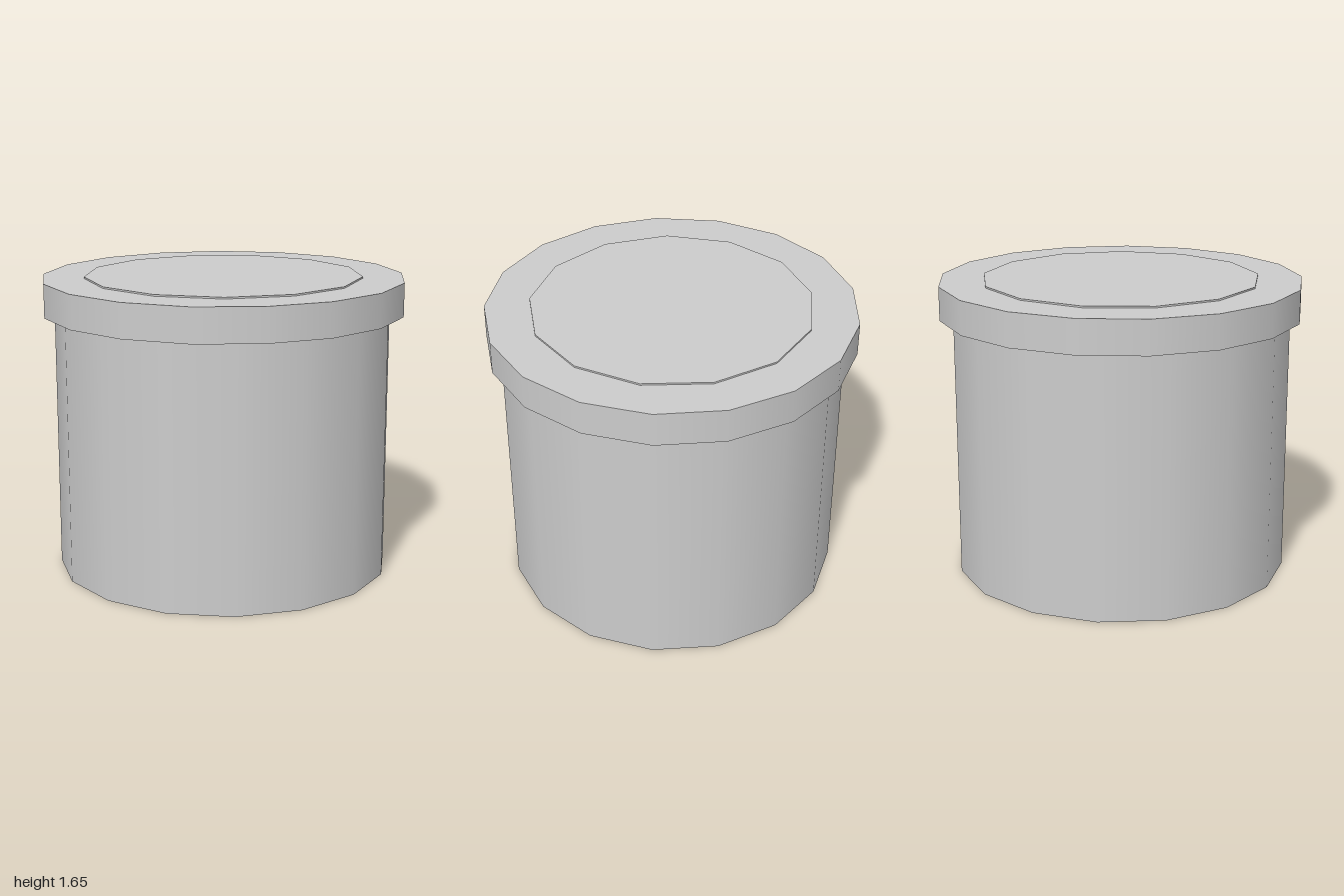
import * as THREE from 'three';

export function createModel() {
  const model = new THREE.Group();
  const grey = new THREE.MeshStandardMaterial({ color: 0xcccccc });
  grey.name = 'lightGrey';

  // Upright polygonal drum with smooth sides and a corner pointing along +x
  function addDrum(name, radius, bottom, top, sides) {
    const geometry = new THREE.CylinderGeometry(
      radius, radius, top - bottom, sides, 1, false, Math.PI / 2);
    const mesh = new THREE.Mesh(geometry, grey);
    mesh.name = name;
    mesh.position.set(-0.012, (bottom + top) / 2, 0);
    model.add(mesh);
  }

  addDrum('body', 0.933, 0, 1.455, 16);
  addDrum('rim', 1.004, 1.452, 1.638, 17);
  // Thin raised plate on top of the rim
  addDrum('topPlate', 0.768, 1.636, 1.647, 13);

  return model;
}
